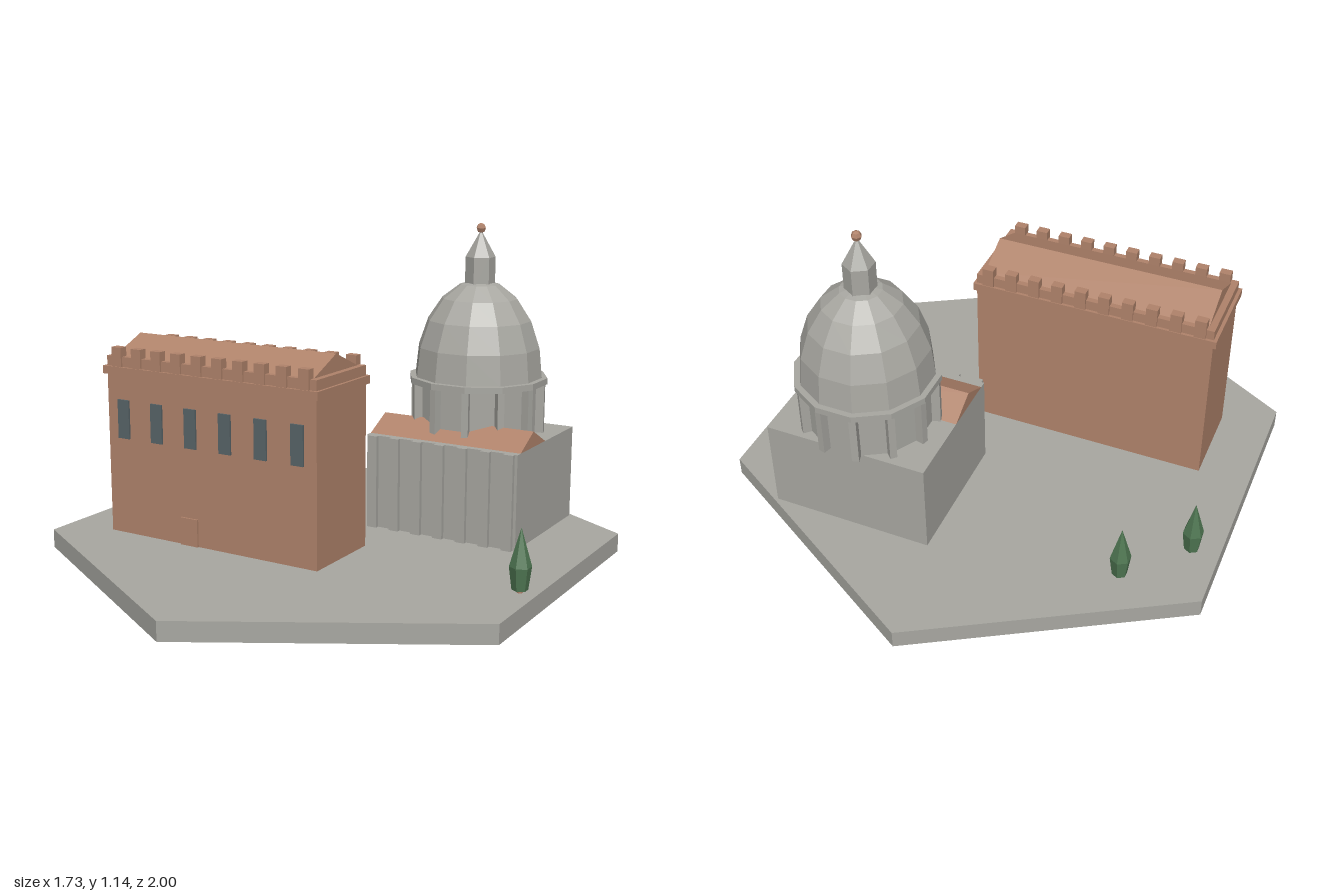
import * as THREE from 'three';

const mat = (name, color) => {
  const m = new THREE.MeshStandardMaterial({ color });
  m.name = name;
  return m;
};

export function createModel() {
  const stone = mat('stone', 0xa8a7a1);
  const brick = mat('brick', 0xb0836b);
  const glass = mat('windowGrey', 0x586468);
  const green = mat('cypressGreen', 0x4f7652);

  const model = new THREE.Group();
  model.name = 'townSquare';
  const group = (name, x = 0, y = 0, z = 0) => {
    const g = new THREE.Group();
    g.name = name;
    g.position.set(x, y, z);
    model.add(g);
    return g;
  };
  // Adds a faceted mesh with flat normals
  const add = (parent, name, geo, material, x = 0, y = 0, z = 0) => {
    const g = geo.index ? geo.toNonIndexed() : geo;
    g.computeVertexNormals();
    const mesh = new THREE.Mesh(g, material);
    mesh.name = name;
    mesh.position.set(x, y, z);
    parent.add(mesh);
    return mesh;
  };
  // Box given by its extents
  const box = (parent, name, material, x0, x1, y0, y1, z0, z1) =>
    add(parent, name, new THREE.BoxGeometry(x1 - x0, y1 - y0, z1 - z0), material,
      (x0 + x1) / 2, (y0 + y1) / 2, (z0 + z1) / 2);
  // Gable roof with its ridge along x
  const gable = (parent, name, x0, x1, y0, y1, z0, z1) => {
    const half = (z1 - z0) / 2;
    const shape = new THREE.Shape();
    shape.moveTo(-half, 0);
    shape.lineTo(half, 0);
    shape.lineTo(0, y1 - y0);
    shape.closePath();
    const geo = new THREE.ExtrudeGeometry(shape, { depth: x1 - x0, bevelEnabled: false });
    geo.rotateY(Math.PI / 2);
    add(parent, name, geo, brick, x0, y0, (z0 + z1) / 2);
  };
  const lathe = (pts, sides) =>
    new THREE.LatheGeometry(pts.map(p => new THREE.Vector2(p[0], p[1])), sides);

  // Hexagonal ground slab
  const G = 0.065;
  add(model, 'groundSlab', new THREE.CylinderGeometry(1, 1, G, 6), stone, 0, G / 2, 0);

  // Brick palace
  const palace = group('palace');
  box(palace, 'palaceWalls', brick, -0.685, 0.172, G, 0.632, 0.08, 0.39);
  box(palace, 'cornice', brick, -0.697, 0.182, 0.632, 0.66, 0.07, 0.40);
  box(palace, 'parapet', brick, -0.685, 0.172, 0.66, 0.695, 0.08, 0.39);
  gable(palace, 'palaceRoof', -0.662, 0.15, 0.695, 0.755, 0.1, 0.37);
  for (let i = 0; i < 10; i++) {
    const x = -0.638 + i * 0.085;
    box(palace, 'frontMerlon', brick, x - 0.02, x + 0.02, 0.66, 0.728, 0.367, 0.397);
    box(palace, 'backMerlon', brick, x - 0.02, x + 0.02, 0.66, 0.728, 0.073, 0.103);
  }
  for (let i = 0; i < 6; i++) {
    const x = -0.615 + i * 0.143;
    box(palace, 'window', glass, x - 0.024, x + 0.024, 0.408, 0.545, 0.388, 0.397);
  }
  box(palace, 'door', brick, -0.375, -0.305, G, 0.162, 0.388, 0.397);

  // Church body with front pilasters and a low roof
  const church = group('church');
  box(church, 'churchBody', stone, 0.057, 0.635, G, 0.4, -0.62, -0.13);
  for (let i = 0; i < 7; i++) {
    const x = 0.085 + i * 0.087;
    box(church, 'pilaster', stone, x - 0.018, x + 0.018, G, 0.4, -0.135, -0.115);
  }
  gable(church, 'churchRoof', 0.057, 0.635, 0.4, 0.455, -0.365, -0.155);

  // Twelve-sided drum and dome, with a flat side to the front
  const dome = group('domeTower', 0.346, 0, -0.422);
  const turn = Math.PI / 12;
  const drum = add(dome, 'drum', new THREE.CylinderGeometry(0.214, 0.214, 0.185, 12), stone, 0, 0.4875, 0);
  const ring = add(dome, 'drumCornice', new THREE.CylinderGeometry(0.249, 0.249, 0.022, 12), stone, 0, 0.586, 0);
  const profile = [];
  for (let i = 0; i <= 5; i++) {
    const a = i * Math.PI / 10;
    profile.push([i === 5 ? 0 : 0.229 * Math.cos(a), 0.345 * Math.sin(a)]);
  }
  const shell = add(dome, 'domeShell', lathe(profile, 12), stone, 0, 0.595, 0);
  [drum, ring, shell].forEach(m => { m.rotation.y = turn; });
  for (let i = 0; i < 12; i++) {
    const a = turn + i * Math.PI / 6;
    const rib = add(dome, 'drumPilaster', new THREE.BoxGeometry(0.024, 0.178, 0.035), stone,
      Math.sin(a) * 0.223, 0.489, Math.cos(a) * 0.223);
    rib.rotation.y = a;
  }

  // Lantern, spire and finial
  add(dome, 'lantern', new THREE.CylinderGeometry(0.053, 0.053, 0.11, 6), stone, 0, 0.965, 0);
  add(dome, 'lanternSpire', new THREE.ConeGeometry(0.053, 0.095, 6), stone, 0, 1.0675, 0);
  add(dome, 'finial', new THREE.SphereGeometry(0.018, 6, 4), brick, 0, 1.121, 0);

  // Cypress trees
  for (const [x, z] of [[-0.77, -0.297], [-0.583, -0.495], [0.81, 0.228]]) {
    const tree = group('cypress', x, G, z);
    add(tree, 'trunk', new THREE.CylinderGeometry(0.01, 0.01, 0.015, 6), brick, 0, 0.0075, 0);
    add(tree, 'foliage', lathe([[0, 0.01], [0.026, 0.01], [0.036, 0.085], [0, 0.21]], 6), green);
  }
  return model;
}
